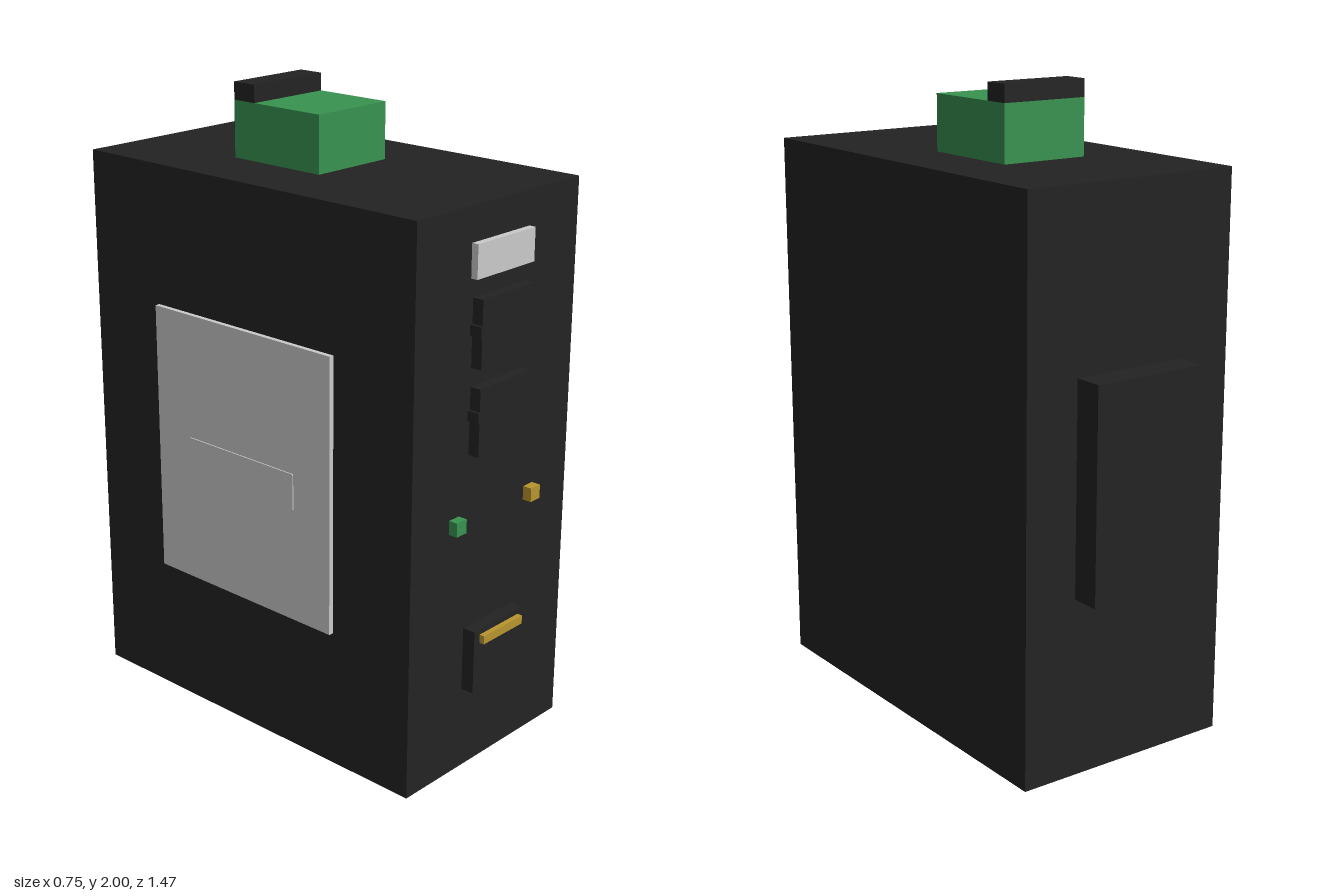
import * as THREE from 'three';

const material = (name, color) => {
  const m = new THREE.MeshStandardMaterial({ color });
  m.name = name;
  return m;
};

export function createModel() {
  const black = material('black', 0x232323);
  const green = material('green', 0x389350);
  const gold = material('gold', 0xb8952e);
  const silver = material('silver', 0xcacaca);

  const model = new THREE.Group();
  model.name = 'networkSwitch';

  // Box given by its extents along each axis
  const box = (name, mat, [x0, x1], [y0, y1], [z0, z1], parent = model) => {
    const mesh = new THREE.Mesh(new THREE.BoxGeometry(x1 - x0, y1 - y0, z1 - z0), mat);
    mesh.position.set((x0 + x1) / 2, (y0 + y1) / 2, (z0 + z1) / 2);
    mesh.name = name;
    parent.add(mesh);
    return mesh;
  };

  const front = 0.677, back = -0.643, top = 1.768, left = -0.36;

  // Housing and the rail clip on its back
  box('housing', black, [left, 0.375], [0, top], [back, front]);
  box('railClip', black, [-0.182, 0.198], [0.56, 1.222], [-0.735, back]);

  // Power terminal with its locking lever
  box('powerTerminal', green, [-0.138, 0.155], [top, 1.945], [-0.235, 0.115]);
  box('terminalLever', black, [-0.138, 0.155], [1.945, 2], [-0.235, -0.15]);

  // Side label with a slightly raised strip
  box('sideLabel', silver, [-0.376, left], [0.445, 1.325], [-0.355, 0.378]);
  box('sideLabelStrip', silver, [-0.38, -0.376], [0.81, 0.925], [-0.21, 0.232]);

  // Name plate on the front
  box('namePlate', silver, [-0.122, 0.14], [1.56, 1.662], [front, 0.699]);

  // Two fibre ports, each with a crossbar wider than the body
  for (const [y0, barY] of [[1.295, 1.41], [1.03, 1.153]]) {
    const port = new THREE.Group();
    port.name = 'fibrePort';
    model.add(port);
    box('portBody', black, [-0.11, 0.125], [y0, y0 + 0.208], [front, 0.713], port);
    box('portCrossbar', black, [-0.12, 0.137], [barY - 0.016, barY + 0.016], [front, 0.717], port);
  }

  // Status lights
  box('greenLight', green, [-0.191, -0.147], [0.805, 0.849], [front, 0.707]);
  box('goldLight', gold, [0.163, 0.207], [0.805, 0.849], [front, 0.707]);

  // Copper port with its contact strip
  box('copperPort', black, [-0.11, 0.125], [0.268, 0.473], [front, 0.72]);
  box('portContacts', gold, [-0.085, 0.102], [0.43, 0.457], [0.72, 0.737]);

  return model;
}
